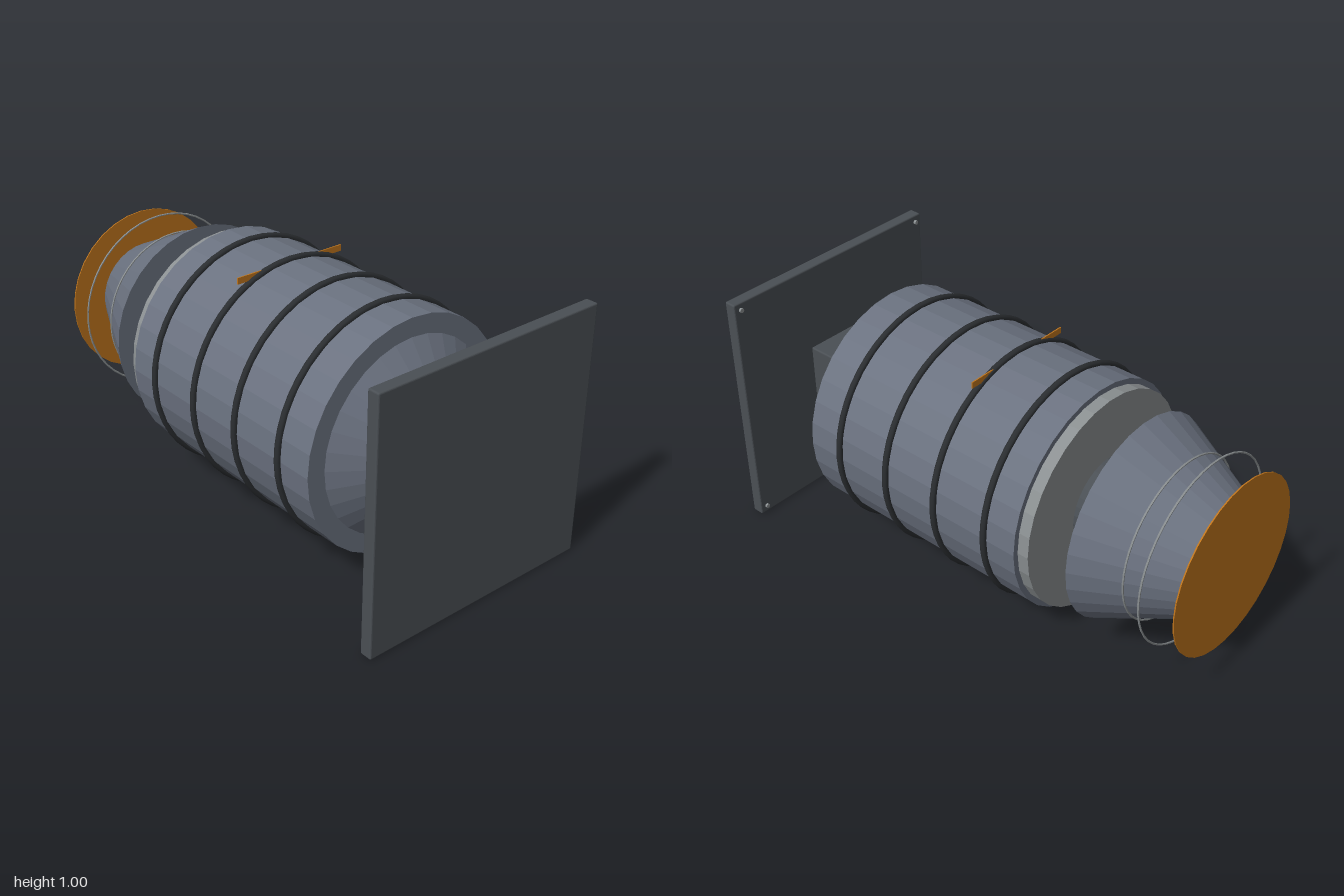
import * as THREE from 'three';
import { RoundedBoxGeometry } from 'three/addons/geometries/RoundedBoxGeometry.js';

const AXIS_Y = 0.502;
const SIDES = 32;

export function createModel() {
  const group = new THREE.Group();
  group.name = 'canisterThruster';

  const material = (name, color, flat = true) => {
    const m = new THREE.MeshStandardMaterial({ color });
    m.name = name;
    m.flatShading = flat;
    return m;
  };
  const slate = material('slate metal', 0x6b7280);
  const dark = material('dark metal', 0x4a4f54);
  const black = material('black band', 0x2b2e31, false);
  const light = material('light grey metal', 0x8b9092);
  const orange = material('orange', 0xc0751c);

  const add = (name, geometry, mat, x = 0, y = AXIS_Y, z = 0) => {
    const mesh = new THREE.Mesh(geometry, mat);
    mesh.name = name;
    mesh.position.set(x, y, z);
    group.add(mesh);
    return mesh;
  };

  // Round section along z, from its front end to its back end
  const section = (name, zFront, zBack, rFront, rBack, mat) => {
    const g = new THREE.CylinderGeometry(rFront, rBack, zFront - zBack, SIDES);
    g.rotateX(Math.PI / 2);
    return add(name, g, mat, 0, AXIS_Y, (zFront + zBack) / 2);
  };
  const ring = (name, z, radius, tube, mat, tubeSides = 8) =>
    add(name, new THREE.TorusGeometry(radius, tube, tubeSides, 48), mat, 0, AXIS_Y, z);

  // Mounting plate with corner bolts on its back face
  add('mountingPlate', new RoundedBoxGeometry(1, 1, 0.05, 2, 0.006), dark, 0, 0.5, 0.975);
  for (const x of [-0.47, 0.47]) {
    for (const y of [0.03, 0.97]) {
      const g = new THREE.CylinderGeometry(0.009, 0.009, 0.012, 12);
      g.rotateX(Math.PI / 2);
      add('plateBolt', g, light, x, y, 0.946);
    }
  }

  // Square neck and front taper
  add('mountNeck', new RoundedBoxGeometry(0.29, 0.29, 0.22, 2, 0.006), dark, 0, AXIS_Y, 0.845);
  section('frontTaper', 0.765, 0.62, 0.185, 0.39, slate);

  // Main drum with raised bands
  section('drum', 0.625, -0.394, 0.457, 0.457, slate);
  for (const z of [0.47, 0.228, -0.014, -0.256]) ring('drumBand', z, 0.46, 0.013, black);
  section('rearFlange', -0.39, -0.44, 0.435, 0.435, light);

  // Thin orange crossbar set into the top of the drum
  add('topBar', new THREE.BoxGeometry(0.49, 0.025, 0.005), orange, 0, 0.94, -0.018);

  // Rear neck, nozzle, wire hoops and end disc
  section('rearNeck', -0.43, -0.59, 0.185, 0.185, dark);
  section('nozzle', -0.585, -0.997, 0.407, 0.205, slate);
  ring('nozzleHoop', -0.767, 0.323, 0.004, light, 6);
  ring('outerHoop', -0.867, 0.369, 0.004, light, 6);
  section('endDisc', -0.995, -1, 0.352, 0.352, orange);

  return group;
}
